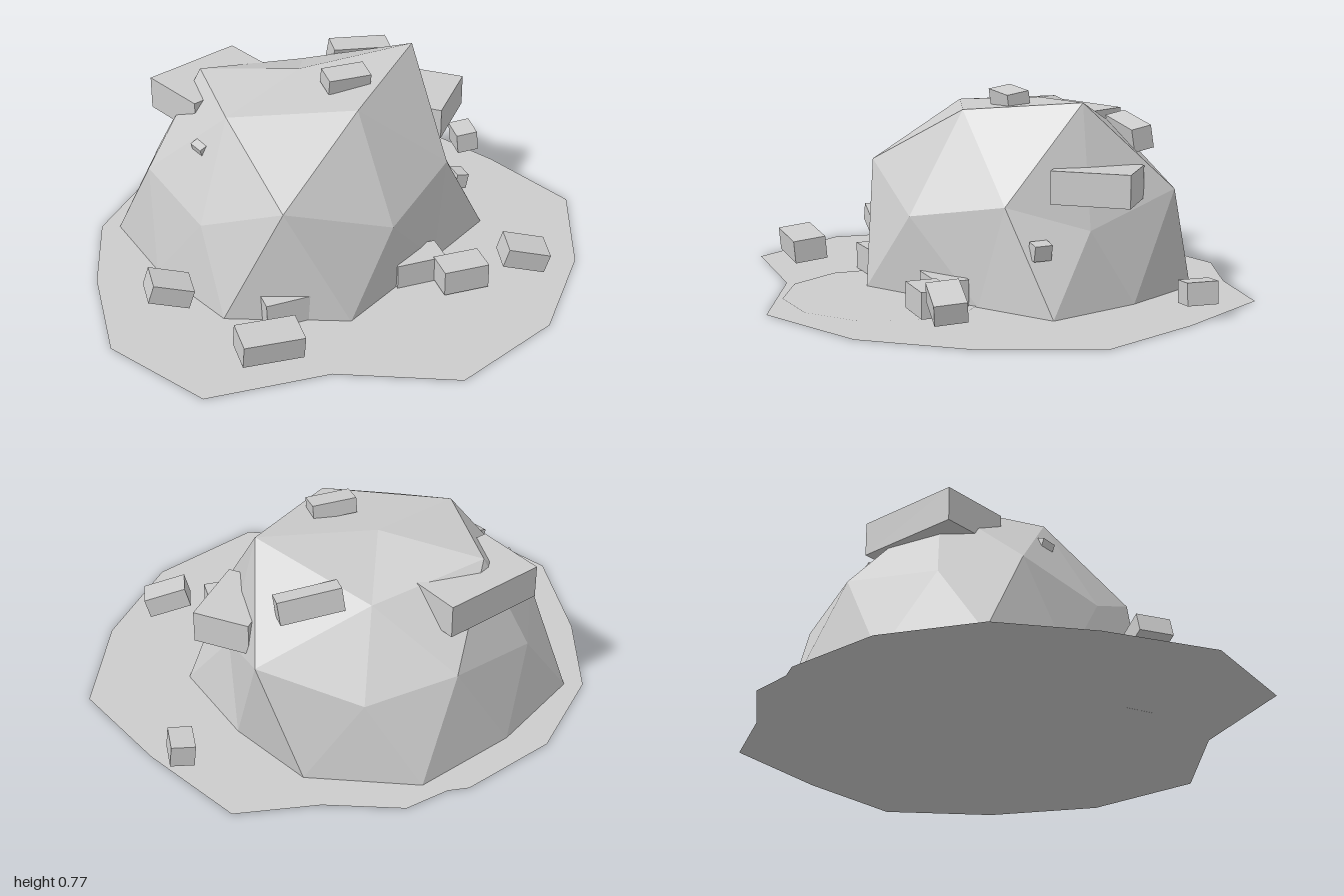
import * as THREE from 'three';

export function createModel() {
  const model = new THREE.Group();
  const stone = new THREE.MeshStandardMaterial({ color: 0xcccccc, flatShading: true, side: THREE.DoubleSide });
  stone.name = 'stone grey';

  const add = (name, geometry) => {
    const mesh = new THREE.Mesh(geometry, stone);
    mesh.name = name;
    model.add(mesh);
    return mesh;
  };

  // Flat, uneven ground patch, outline as x and z
  const outline = [
    [-0.02, -0.95], [0.27, -0.86], [0.59, -0.83], [0.82, -0.455], [1, -0.06], [0.855, 0.36],
    [0.59, 0.725], [0.17, 0.94], [-0.27, 0.765], [-0.745, 0.765], [-1, 0.38], [-0.97, -0.06],
    [-0.88, -0.43], [-0.625, -0.735], [-0.27, -0.9], [-0.19, -0.895],
  ];
  const shape = new THREE.Shape(outline.map(([x, z]) => new THREE.Vector2(x, -z)));
  add('ground', new THREE.ShapeGeometry(shape).rotateX(-Math.PI / 2));

  // Smaller patch in front of the boulder
  add('groundPatch', new THREE.CircleGeometry(0.4, 11).rotateX(-Math.PI / 2))
    .position.set(0.03, 0.003, 0.44);

  // Boulder: a faceted dome of a peak and three rings, listed from +x towards +z
  const peak = [-0.1, 0.71, -0.22];
  const upper = [
    [0.36, 0.75, -0.22], [0.025, 0.695, 0.135], [-0.445, 0.665, -0.01],
    [-0.445, 0.66, -0.425], [0, 0.59, -0.515],
  ];
  const middle = [
    [0.47, 0.29, -0.21], [0.4, 0.385, 0.1], [0.09, 0.31, 0.37], [-0.34, 0.46, 0.39], [-0.59, 0.3, 0.13],
    [-0.71, 0.37, -0.22], [-0.61, 0.3, -0.5], [-0.27, 0.37, -0.71], [0.08, 0.31, -0.73], [0.44, 0.42, -0.56],
  ];
  const base = [
    [0.6, 0, -0.015], [0.33, 0, 0.18], [-0.11, 0, 0.485], [-0.56, 0, 0.325], [-0.73, 0, -0.06],
    [-0.81, 0, -0.41], [-0.49, 0, -0.665], [-0.11, 0, -0.845], [0.3, 0, -0.7], [0.48, 0, -0.385],
  ];
  const points = [];
  const face = (...corners) => corners.forEach((c) => points.push(...c));
  for (let i = 0; i < 5; i++) {
    const next = upper[(i + 1) % 5];
    const a = middle[2 * i], b = middle[2 * i + 1], c = middle[(2 * i + 2) % 10];
    face(peak, next, upper[i]);
    face(upper[i], b, a);
    face(upper[i], next, b);
    face(next, c, b);
  }
  for (let j = 0; j < 10; j++) {
    face(middle[j], middle[(j + 1) % 10], base[j]);
    face(middle[j], base[j], base[(j + 9) % 10]);
  }
  const dome = new THREE.BufferGeometry();
  dome.setAttribute('position', new THREE.Float32BufferAttribute(points, 3));
  dome.computeVertexNormals();
  add('boulder', dome);

  // Stone blocks: position, size, rotation
  const blocks = (name, list) => list.forEach(([position, size, rotation]) => {
    const block = add(name, new THREE.BoxGeometry(...size));
    block.position.set(...position);
    block.rotation.set(...rotation);
  });

  // Blocks stuck into the boulder
  blocks('embeddedBlock', [
    [[0.035, 0.735, -0.05], [0.17, 0.06, 0.09], [0.15, 0.08, -0.04]],
    [[-0.39, 0.56, -0.43], [0.41, 0.13, 0.28], [0, 0.43, 0]],
    [[0.22, 0.61, -0.47], [0.24, 0.09, 0.08], [0.2, 0, -0.1]],
    [[0.435, 0.455, -0.25], [0.22, 0.125, 0.3], [0, -0.64, 0]],
    [[-0.525, 0.52, -0.06], [0.06, 0.06, 0.06], [0.1, 0.4, 0.3]],
    [[0.49, 0.235, -0.005], [0.05, 0.06, 0.07], [0, 0.1, -0.2]],
  ]);

  // Loose blocks lying around it
  blocks('looseBlock', [
    [[-0.745, 0.12, 0.235], [0.16, 0.075, 0.13], [0, -0.05, -0.32]],
    [[-0.47, 0.11, 0.65], [0.23, 0.09, 0.13], [0.1, 0.03, -0.05]],
    [[-0.33, 0.055, 0.37], [0.19, 0.105, 0.13], [0, 0.05, 0.03]],
    [[0.365, 0.06, 0.38], [0.18, 0.1, 0.12], [0, 0.03, 0]],
    [[0.615, 0.11, 0.393], [0.17, 0.08, 0.12], [0.08, -0.15, -0.26]],
    [[0.22, 0.055, 0.275], [0.2, 0.1, 0.12], [0, 0.05, 0]],
    [[0.717, 0.093, -0.53], [0.09, 0.085, 0.12], [0, -0.05, 0.1]],
  ]);

  return model;
}
